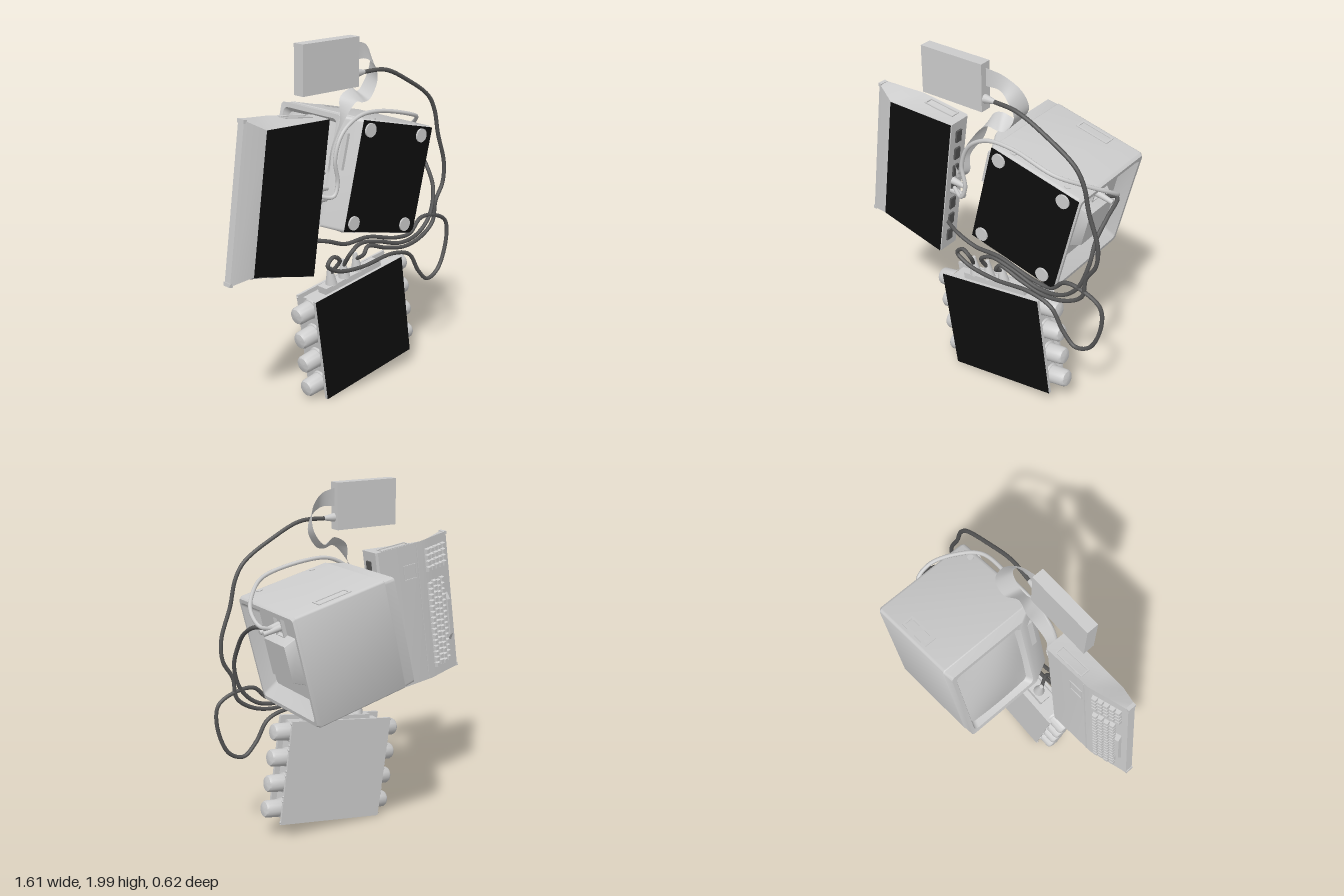
import * as THREE from 'three';
import { mergeGeometries, toCreasedNormals } from 'three/addons/utils/BufferGeometryUtils.js';

const grey = new THREE.MeshStandardMaterial({ color: 0xcccccc });
const greyThin = new THREE.MeshStandardMaterial({ color: 0xcccccc, side: THREE.DoubleSide });
const black = new THREE.MeshStandardMaterial({ color: 0x0d0d0d });
const dark = new THREE.MeshStandardMaterial({ color: 0x555555 });
const FLOOR = 0.307;

function add(parent, name, geo, pos = [0, 0, 0], mat = grey) {
  const m = new THREE.Mesh(geo, mat);
  m.name = name;
  m.position.set(...pos);
  parent.add(m);
  return m;
}
const box = (w, h, d) => new THREE.BoxGeometry(w, h, d);

// Skin rings of [x, y, z] points running counter-clockwise as seen from +x
function loft(rings, capStart = false) {
  const p = [], n = rings[0].length;
  const tri = (a, b, c) => p.push(...a, ...b, ...c);
  for (let k = 0; k < rings.length - 1; k++) {
    const a = rings[k], b = rings[k + 1];
    for (let i = 0; i < n; i++) {
      const j = (i + 1) % n;
      tri(a[i], a[j], b[i]);
      tri(a[j], b[j], b[i]);
    }
  }
  const first = rings[0], last = rings[rings.length - 1];
  for (let i = 1; i < n - 1; i++) {
    tri(last[0], last[i], last[i + 1]);
    if (capStart) tri(first[0], first[i + 1], first[i]);
  }
  const g = new THREE.BufferGeometry();
  g.setAttribute('position', new THREE.Float32BufferAttribute(p, 3));
  g.computeVertexNormals();
  return toCreasedNormals(g, 0.6);
}

// Rounded rectangle ring at x, from height y0 to y1 and half width w
function roundRing(x, y0, y1, w, r) {
  const pts = [];
  [[y1 - r, w - r], [y0 + r, w - r], [y0 + r, r - w], [y1 - r, r - w]].forEach(([cy, cz], q) => {
    for (let i = 0; i <= 4; i++) {
      const a = (q + i / 4) * Math.PI / 2;
      pts.push([x, cy + r * Math.cos(a), cz + r * Math.sin(a)]);
    }
  });
  return pts;
}

// Flat polygon facing down, from [x, z] corners
function underside(parent, pts, y) {
  const g = new THREE.ShapeGeometry(new THREE.Shape(pts.map(p => new THREE.Vector2(...p))));
  add(parent, 'underside', g.rotateX(Math.PI / 2), [0, y, 0], black);
}

// Rectangular rim around a grip recess, facing +z
function rim(w, h, t, d) {
  const s = new THREE.Shape([[-w, -h], [w, -h], [w, h], [-w, h]].map(p => new THREE.Vector2(...p)));
  const a = w - t, b = h - t;
  s.holes.push(new THREE.Path([[-a, -b], [-a, b], [a, b], [a, -b]].map(p => new THREE.Vector2(...p))));
  return new THREE.ExtrudeGeometry(s, { depth: d, bevelEnabled: false });
}

// A device stands on the floor plane (world +z), its own y axis pointing to world -z
function device(root, name, x, y, degrees) {
  const tilt = new THREE.Group(), g = new THREE.Group();
  tilt.name = name;
  tilt.position.set(x, y, FLOOR);
  tilt.rotation.x = -Math.PI / 2;
  g.rotation.y = -degrees * Math.PI / 180;
  tilt.add(g);
  root.add(tilt);
  return g;
}

function buildMonitor(root) {
  const g = device(root, 'monitor', 0.267, 1.197, -13.3);
  add(g, 'monitorCase', loft([
    roundRing(-0.275, 0.17, 0.57, 0.26, 0.03), roundRing(-0.31, 0.15, 0.585, 0.28, 0.03),
    roundRing(-0.312, 0.125, 0.608, 0.305, 0.02), roundRing(-0.25, 0.012, 0.612, 0.308, 0.02),
    roundRing(-0.245, 0.012, 0.614, 0.312, 0.02), roundRing(0.295, 0.012, 0.614, 0.312, 0.02),
    roundRing(0.312, 0.02, 0.604, 0.302, 0.02), roundRing(0.312, 0.035, 0.585, 0.28, 0.02),
    roundRing(0.24, 0.08, 0.54, 0.22, 0.02)]));
  // Bulging tube face
  const screen = new THREE.PlaneGeometry(0.53, 0.41, 16, 16), p = screen.attributes.position;
  for (let i = 0; i < p.count; i++) {
    const u = p.getX(i) / 0.265, v = p.getY(i) / 0.205;
    p.setZ(i, 0.028 * (1 - u * u) * (1 - v * v) + 0.006 * (2 - u * u - v * v));
  }
  screen.computeVertexNormals();
  add(g, 'screen', screen.rotateY(-Math.PI / 2), [-0.272, 0.37, 0]);
  add(g, 'controlPanel', box(0.05, 0.05, 0.2), [-0.272, 0.09, 0.12]);
  // Rear housing and socket
  add(g, 'rearHousing', loft([roundRing(0.23, 0.165, 0.445, 0.14, 0.005), roundRing(0.302, 0.195, 0.415, 0.105, 0.005)]));
  add(g, 'socketPlate', rim(0.06, 0.045, 0.01, 0.02).rotateY(Math.PI / 2), [0.24, 0.31, 0.18]);
  for (const s of [-0.02, 0.02])
    add(g, 'plug', new THREE.CylinderGeometry(0.013, 0.02, 0.12, 12).rotateZ(-Math.PI / 2), [0.3, 0.31 + s, 0.18]);
  // Side grips, feet and screws
  for (const s of [-1, 1]) {
    const grip = add(g, 'sideGrip', rim(0.1, 0.035, 0.012, 0.005), [0.035, 0.545, s * 0.311]);
    if (s < 0) grip.rotation.y = Math.PI;
    for (const x of [-0.19, 0.22])
      add(g, 'foot', new THREE.CylinderGeometry(0.039, 0.039, 0.014, 24), [x, 0.007, s * 0.255]);
    for (const x of [-0.14, 0.2])
      add(g, 'screwBoss', new THREE.CylinderGeometry(0.018, 0.018, 0.006, 14).rotateX(Math.PI / 2), [x, 0.055, s * 0.313]);
  }
  underside(g, [[-0.25, -0.305], [0.305, -0.305], [0.305, 0.305], [-0.25, 0.305]], 0.01);
}

function buildComputer(root) {
  const g = device(root, 'keyboardComputer', -0.48, 1.215, -7.5);
  const ring = (x, y0, y1, zb) => [[x, y1, -0.422], [x, y1, 0.422], [x, y0, zb], [x, y0, -zb]];
  add(g, 'computerCase', loft([ring(-0.267, 0.04, 0.085, 0.42), ring(-0.15, 0.002, 0.113, 0.375),
    ring(-0.04, 0.002, 0.142, 0.387), ring(0.255, 0.002, 0.146, 0.42), ring(0.267, 0.006, 0.135, 0.42)], true));
  underside(g, [[-0.15, -0.375], [0.265, -0.42], [0.265, 0.42], [-0.15, 0.375]], 0);
  // Keys on the sloped deck
  const deck = new THREE.Group();
  deck.position.set(-0.267, 0.086, 0);
  deck.rotation.z = 0.246;
  g.add(deck);
  const keys = [];
  const key = (x, z, len = 0.032) => {
    const k = new THREE.CylinderGeometry(0.0165, 0.0226, 0.022, 4, 1).rotateY(Math.PI / 4).toNonIndexed();
    k.computeVertexNormals();
    keys.push(k.scale(1, 1, len / 0.032).translate(x, 0.011, z));
  };
  for (let r = 0; r < 5; r++) {
    const x = 0.05 + r * 0.035;
    if (r) for (let c = 0; c < 15; c++) key(x, -0.35 + c * 0.0355 + (r % 2) * 0.008);
    else key(x, -0.09, 0.3);
    for (let c = 0; c < 4; c++) key(x, 0.245 + c * 0.036);
  }
  add(deck, 'keys', mergeGeometries(keys));
  // Top panel trim, end grips and front lip
  add(g, 'cartridgePad', rim(0.045, 0.045, 0.006, 0.005).rotateX(-Math.PI / 2), [0.05, 0.144, 0.26]);
  add(g, 'panelSeam', box(0.005, 0.004, 0.82), [-0.01, 0.145, 0]);
  for (const s of [-1, 1]) {
    const grip = add(g, 'endGrip', rim(0.095, 0.028, 0.006, 0.006), [0.12, 0.1, s * 0.416]);
    if (s < 0) grip.rotation.y = Math.PI;
    add(g, 'frontCorner', box(0.02, 0.05, 0.02), [-0.262, 0.062, s * 0.414]);
  }
  // Rear ports
  for (let i = 0; i < 7; i++)
    add(g, 'rearPort', box(0.02, 0.04, 0.07), [0.268, 0.065, -0.33 + i * 0.11], dark);
  for (const z of [-0.02, 0.04])
    add(g, 'rearPlug', new THREE.CylinderGeometry(0.012, 0.022, 0.09, 12).rotateZ(-Math.PI / 2), [0.31, 0.06, z]);
}

function buildControllerBox(root) {
  const g = device(root, 'controllerBox', 0.115, 0.358, 8.6);
  add(g, 'bottomPlate', box(0.667, 0.018, 0.61), [0, 0.01, 0]);
  underside(g, [[-0.333, -0.305], [0.333, -0.305], [0.333, 0.305], [-0.333, 0.305]], 0);
  add(g, 'innerChassis', box(0.6, 0.13, 0.56), [0, 0.08, 0]);
  add(g, 'topPlate', box(0.667, 0.014, 0.61), [0, 0.148, 0]);
  // Domed side knobs
  const knob = new THREE.LatheGeometry([[0.058, 0], [0.056, 0.012], [0.051, 0.014], [0.049, 0.1], [0.042, 0.112], [0.02, 0.118], [0, 0.119]]
    .map(p => new THREE.Vector2(...p)), 28);
  for (const s of [-1, 1]) {
    for (let i = 0; i < 4; i++) {
      const z = -0.228 + i * 0.152;
      add(g, 'sideKnob', toCreasedNormals(knob, 0.6), [s * 0.3, 0.082, z]).rotation.z = -s * Math.PI / 2;
      for (const dz of [-0.062, 0.062])
        add(g, 'sideScrew', new THREE.SphereGeometry(0.007, 8, 6), [s * 0.334, 0.148, z + dz]);
    }
  }
  // Cable sockets with tapered plugs
  add(g, 'socketStrip', box(0.42, 0.07, 0.05), [0, 0.08, 0.295]);
  for (let i = 0; i < 3; i++)
    add(g, 'taperedPlug', new THREE.CylinderGeometry(0.011, 0.034, 0.11, 14).rotateX(Math.PI / 2), [-0.145 + i * 0.098, 0.075, 0.37]);
}

// Round cable through [x, y, z] points; z defaults to just off the floor
function cable(root, name, pts, mat = dark, r = 0.0115) {
  const curve = new THREE.CatmullRomCurve3(pts.map(([x, y, z = 0.292]) => new THREE.Vector3(x, y, z)));
  add(root, name, new THREE.TubeGeometry(curve, pts.length * 12, r, 8), [0, 0, 0], mat);
}

// Flat ribbon between two edge curves
function ribbon(root, name, left, right) {
  const [a, b] = [left, right].map(e => new THREE.CatmullRomCurve3(e.map(p => new THREE.Vector3(...p))));
  const N = 90, g = new THREE.PlaneGeometry(1, 1, 1, N);
  for (let i = 0; i <= N; i++) {
    const p = a.getPoint(i / N), q = b.getPoint(i / N);
    g.attributes.position.setXYZ(2 * i, p.x, p.y, p.z).setXYZ(2 * i + 1, q.x, q.y, q.z);
  }
  g.computeVertexNormals();
  add(root, name, g, [0, 0, 0], greyThin);
}

export function createModel() {
  const root = new THREE.Group();
  root.name = 'homeComputerSet';
  buildMonitor(root);
  buildComputer(root);
  buildControllerBox(root);

  // Power brick
  add(root, 'powerBrick', box(0.387, 0.262, 0.068), [-0.151, 1.869, 0.272]);
  add(root, 'brickPlug', new THREE.CylinderGeometry(0.012, 0.026, 0.07, 12).rotateZ(-Math.PI / 2), [0.07, 1.805, 0.28]);
  ribbon(root, 'ribbonCable',
    [[0.04, 1.97, 0.27], [0.14, 1.945, 0.25], [0.22, 1.87, 0.21], [0.235, 1.76, 0.17], [0.17, 1.68, 0.17], [0.09, 1.71, 0.2], [0.02, 1.67, 0.19], [-0.01, 1.55, 0.22], [-0.09, 1.42, 0.24], [-0.11, 1.3, 0.23], [-0.19, 1.24, 0.24]],
    [[0.04, 1.87, 0.27], [0.13, 1.87, 0.27], [0.19, 1.82, 0.28], [0.215, 1.74, 0.27], [0.16, 1.65, 0.27], [0.11, 1.64, 0.27], [0.05, 1.65, 0.28], [-0.06, 1.53, 0.28], [-0.12, 1.42, 0.28], [-0.15, 1.3, 0.28], [-0.2, 1.36, 0.25]]);

  // Cables
  cable(root, 'brickCable', [[0.09, 1.805, 0.28], [0.25, 1.8], [0.42, 1.725], [0.6, 1.61], [0.655, 1.52], [0.69, 1.38], [0.75, 1.2], [0.745, 1.08], [0.69, 0.98], [0.67, 0.86], [0.58, 0.79], [0.44, 0.76], [0.28, 0.79], [0.14, 0.83], [0.11, 0.79], [0.106, 0.75, 0.235]]);
  cable(root, 'monitorPowerCable', [[0.6, 1.3, 0], [0.68, 1.325, 0.01], [0.695, 1.27, 0.12], [0.69, 1.18, 0.21], [0.69, 1.05, 0.27], [0.64, 0.9], [0.54, 0.81], [0.4, 0.79], [0.22, 0.84], [0.08, 0.86], [0.01, 0.82], [0.008, 0.73, 0.235]]);
  cable(root, 'loopedCable', [[-0.25, 0.95, 0.26], [-0.16, 0.93], [-0.03, 0.885], [0.14, 0.885], [0.36, 0.83], [0.48, 0.83], [0.56, 0.9], [0.66, 0.9], [0.78, 0.84], [0.795, 0.72], [0.73, 0.55], [0.64, 0.51], [0.56, 0.58], [0.48, 0.7], [0.34, 0.74], [0.1, 0.72], [-0.08, 0.74], [-0.16, 0.79], [-0.12, 0.83], [-0.07, 0.8], [-0.088, 0.71, 0.235]]);
  cable(root, 'videoCable', [[-0.2, 1.18, 0.25], [-0.12, 1.17], [-0.09, 1.24], [-0.11, 1.37], [-0.06, 1.5], [0.06, 1.575], [0.22, 1.58], [0.48, 1.52, 0.295], [0.6, 1.46, 0.2], [0.675, 1.39, 0.08], [0.67, 1.33, -0.01], [0.6, 1.31, -0.02]], grey);
  return root;
}
